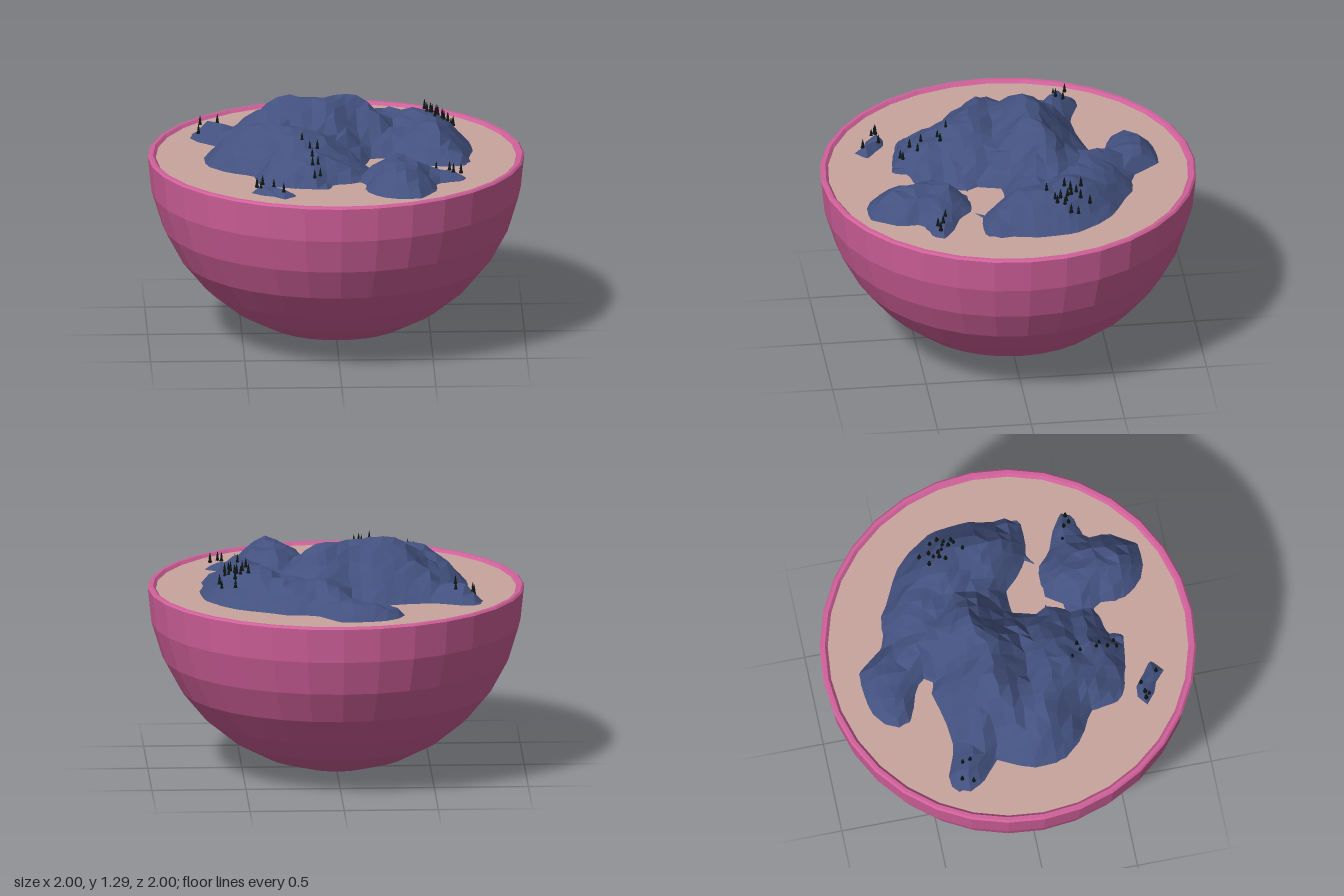
import * as THREE from 'three';

const WATER = 0.985;

// Coastlines as x, z pairs
const coasts = [
  [[-.34, -.70], [-.22, -.79], [0, -.81], [.09, -.70], [.14, -.63], [.27, -.64], [.38, -.57], [.52, -.51], [.63, -.40],
   [.71, -.27], [.73, -.08], [.70, .05], [.72, .20], [.49, .20], [.38, .13], [.31, .05], [.18, .05], [.14, .20]],
  [[.18, .24], [.13, .35], [.10, .50], [-.05, .53], [-.05, .61], [-.17, .60], [-.29, .57], [-.42, .53], [-.44, .35],
   [-.58, .29], [-.69, .16], [-.70, 0], [-.64, -.15], [-.58, -.16], [-.72, -.27], [-.77, -.37], [-.76, -.44],
   [-.66, -.45], [-.50, -.39], [-.34, -.41], [-.18, -.45], [-.09, -.41], [-.09, -.51], [-.24, -.56], [-.33, -.60]],
  [[.24, .24], [.40, .24], [.47, .32], [.59, .36], [.69, .43], [.66, .48], [.51, .50], [.52, .64], [.43, .79],
   [.27, .79], [.19, .72], [.14, .64], [.15, .53], [.09, .44], [.17, .35]],
  [[-.48, .64], [-.42, .62], [-.33, .63], [-.29, .69], [-.23, .72], [-.29, .79], [-.34, .73], [-.45, .70]],
];
const islands = [[...coasts[0], ...coasts[1]], coasts[2], coasts[3]];

// Mountain ridges: x1, z1, x2, z2, height, reach
const ridges = [
  [-.34, -.14, .08, -.14, .30, .31],
  [-.40, .15, -.20, .20, .225, .36],
  [-.20, .20, -.12, .45, .14, .28],
  [.42, -.30, .56, 0, .18, .28],
  [.05, -.40, .30, -.40, .14, .28],
  [-.10, -.70, 0, -.62, .08, .22],
  [-.70, -.37, -.50, -.25, .09, .20],
  [.30, .40, .35, .65, .12, .28],
];

function segmentDistance(x, z, x1, z1, x2, z2) {
  const dx = x2 - x1, dz = z2 - z1;
  const t = THREE.MathUtils.clamp(((x - x1) * dx + (z - z1) * dz) / (dx * dx + dz * dz), 0, 1);
  return Math.hypot(x - x1 - t * dx, z - z1 - t * dz);
}

// Distance to the nearest coast, positive on land
function shoreDistance(x, z) {
  let best = -9;
  for (const pts of islands) {
    let inside = false, d = 9;
    pts.forEach(([ax, az], i) => {
      const [bx, bz] = pts[(i + 1) % pts.length];
      d = Math.min(d, segmentDistance(x, z, ax, az, bx, bz));
      if ((az > z) !== (bz > z) && x < ax + (z - az) / (bz - az) * (bx - ax)) inside = !inside;
    });
    best = Math.max(best, inside ? d : -d);
  }
  return best;
}

function noise(i, j) {
  const s = Math.sin(i * 127.1 + j * 311.7) * 43758.5453;
  return (s - Math.floor(s)) * 2 - 1;
}

// Land height above the water
function landHeight(x, z) {
  const shore = shoreDistance(x, z);
  if (shore < 0) return Math.max(shore * 0.9, -0.06);
  let top = 0.045;
  for (const [x1, z1, x2, z2, h, reach] of ridges) {
    const d = segmentDistance(x, z, x1, z1, x2, z2) / reach;
    if (d < 1) top = Math.max(top, h * (1 - d ** 1.5));
  }
  return Math.min(top, shore * 1.15);
}

// Faceted land, built only where a cell reaches above the water
function makeLand() {
  const step = 0.06, n = 15, pos = [];
  const corner = (i, j) => {
    const x = (i + 0.2 * noise(i, j)) * step, z = (j + 0.2 * noise(j + 50, i)) * step;
    const h = landHeight(x, z);
    return [x, WATER + h + (h > 0.05 ? 0.012 * noise(i + 9, j + 31) : 0), z];
  };
  for (let i = -n; i < n; i++) for (let j = -n; j < n; j++) {
    const a = corner(i, j), b = corner(i, j + 1), c = corner(i + 1, j + 1), d = corner(i + 1, j);
    if (Math.max(a[1], b[1], c[1], d[1]) <= WATER) continue;
    // Fold each cell along its flatter diagonal
    if (Math.abs(a[1] - c[1]) < Math.abs(b[1] - d[1])) pos.push(...a, ...b, ...c, ...a, ...c, ...d);
    else pos.push(...a, ...b, ...d, ...b, ...c, ...d);
  }
  const geo = new THREE.BufferGeometry();
  geo.setAttribute('position', new THREE.Float32BufferAttribute(pos, 3));
  geo.computeVertexNormals();
  return geo;
}

const treeSpots = [
  [-.71, -.39], [-.62, -.37], [-.72, -.33], [-.62, -.33],
  [-.19, .31], [-.15, .36], [-.11, .35], [-.14, .45], [-.11, .47], [-.14, .51], [-.13, .56], [-.10, .55],
  [-.44, .66], [-.41, .66], [-.42, .68], [-.35, .65], [-.30, .74],
  [.52, .40], [.59, .42], [.61, .45], [.65, .44],
  [.55, -.37], [.48, -.33], [.55, -.32], [.52, -.30], [.54, -.27], [.51, -.27], [.49, -.24], [.55, -.25],
  [.58, -.24], [.60, -.23], [.63, -.26], [.62, -.30], [.57, -.21], [.60, -.19], [.53, -.14], [.58, -.18],
];

export function createModel() {
  const model = new THREE.Group();
  const material = (color) => new THREE.MeshStandardMaterial({ color, flatShading: true });
  const add = (name, geometry, mat, parent = model) => {
    const mesh = new THREE.Mesh(geometry, mat);
    mesh.name = name;
    parent.add(mesh);
    return mesh;
  };

  // Half-sphere bowl with a bevelled rim
  const profile = [];
  for (let i = 0; i <= 8; i++) {
    const a = i * Math.PI / 16;
    profile.push(new THREE.Vector2(Math.sin(a), 1 - Math.cos(a) + 0.005 * (1 - i / 8)));
  }
  profile[8].y = 0.99;
  profile.push(new THREE.Vector2(0.99, 1), new THREE.Vector2(0.972, 1), new THREE.Vector2(0.95, 0.975));
  add('bowl', new THREE.LatheGeometry(profile, 32), material(0xd0609a));

  // Water surface
  const water = add('water', new THREE.CircleGeometry(0.957, 32), material(0xc8a59e));
  water.rotation.x = -Math.PI / 2;
  water.position.y = WATER;

  // Islands
  const landMaterial = material(0x43517f);
  landMaterial.side = THREE.DoubleSide;
  add('islands', makeLand(), landMaterial);

  // Small conifers, two stacked cones each
  const trees = new THREE.Group();
  trees.name = 'trees';
  model.add(trees);
  const cone = new THREE.ConeGeometry(0.011, 0.034, 6);
  const treeMaterial = material(0x0c1512);
  treeSpots.forEach(([x, z], i) => {
    const tree = new THREE.Group();
    tree.name = 'tree';
    tree.position.set(x, WATER + Math.max(landHeight(x, z), 0), z);
    tree.scale.setScalar(1 + 0.15 * noise(i, 3));
    add('lowerBranches', cone, treeMaterial, tree).position.y = 0.018;
    const tip = add('upperBranches', cone, treeMaterial, tree);
    tip.position.y = 0.036;
    tip.scale.set(0.65, 0.9, 0.65);
    trees.add(tree);
  });
  return model;
}
